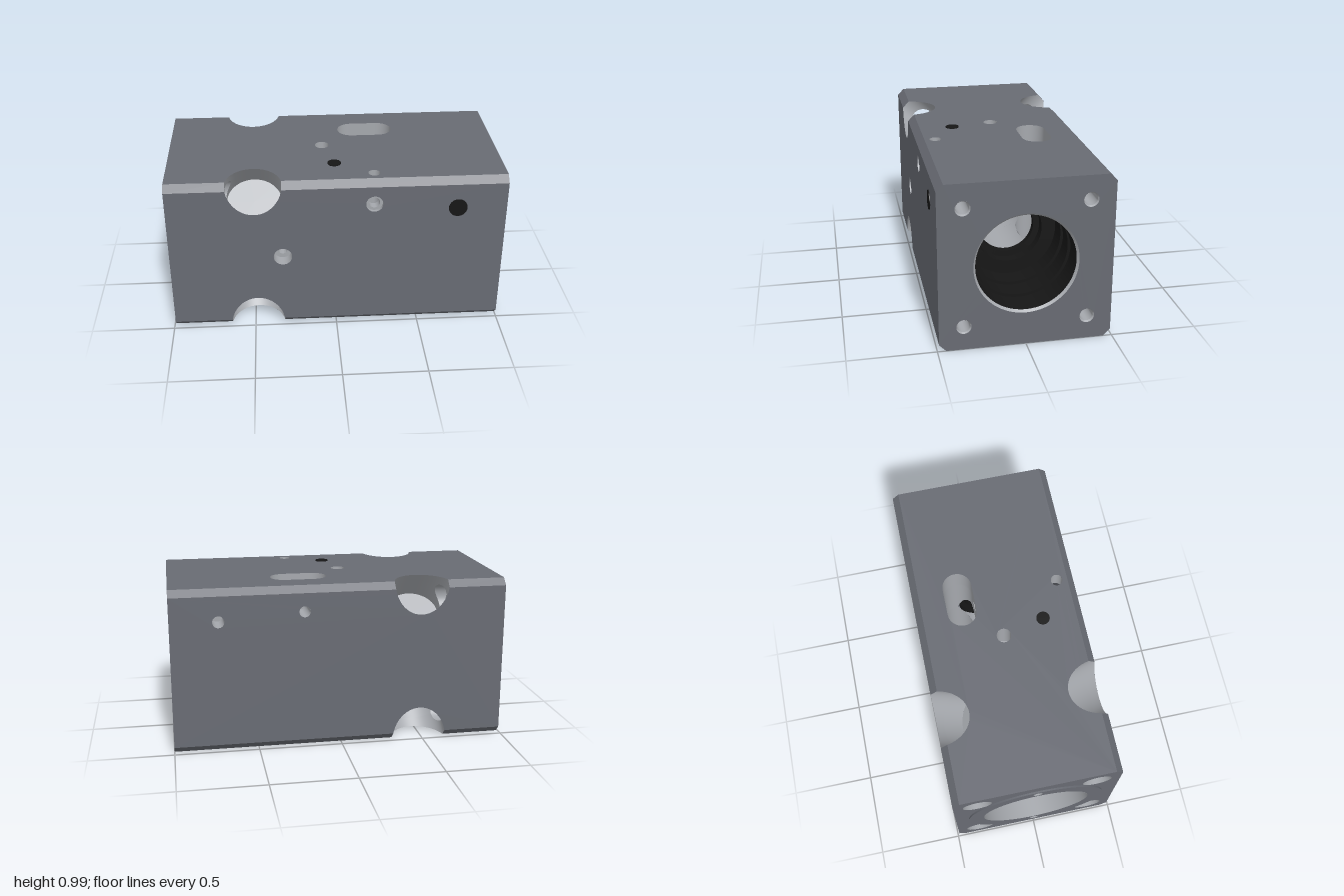
import * as THREE from 'three';
import { toCreasedNormals } from 'three/addons/utils/BufferGeometryUtils.js';

const H = 0.49, C = 0.45;                     // half section, chamfer start
const X0 = -0.99, X1 = 1;                     // body ends
const PX = -0.48, PR = 0.165, PV = 0.14;      // corner pocket centre and half axes
const BOLT = 0.35, BOLT_R = 0.085;            // bolt axis offset and clearance radius
const CORE = 0.2;                             // bore radius where the slot crosses it
const SLOT = { x: 0.22, z: -0.2125, half: 0.0825, r: 0.0875 };
const PIN = { x: 0.22, y: 0.34, r: 0.033 };   // cross hole running front to back

const material = (color) => new THREE.MeshStandardMaterial({ color, side: THREE.DoubleSide });
const steel = material(0x686b73), bright = material(0xa5a8ad), black = material(0x161616);
const range = (n, f) => Array.from({ length: n + 1 }, (_, i) => f(i / n));
const halfChord = (r, d) => Math.sqrt(Math.max(0, r * r - d * d));

function add(parent, name, geometry, mat, x = 0, y = 0, z = 0) {
  const mesh = new THREE.Mesh(geometry, mat);
  mesh.name = name;
  mesh.position.set(x, y, z);
  parent.add(mesh);
  return mesh;
}

// Ruled surface between two rails of points
function strip(a, b) {
  const pos = [], index = [];
  a.forEach((p, i) => {
    pos.push(...p, ...b[i]);
    const k = i * 2;
    if (i) index.push(k - 2, k, k - 1, k - 1, k, k + 1);
  });
  const g = new THREE.BufferGeometry();
  g.setAttribute('position', new THREE.Float32BufferAttribute(pos, 3));
  g.setIndex(index);
  g.computeVertexNormals();
  return g;
}

// Turned surface from [radius, height] pairs
const turned = (profile, seg = 32) => toCreasedNormals(
  new THREE.LatheGeometry(profile.map(([r, h]) => new THREE.Vector2(r, h)), seg), 0.5);

const circlePath = (x, y, r) => new THREE.Path().absarc(x, y, r, 0, Math.PI * 2);

// Slot outline as [x, z], straight sides finely divided for the cross hole
function slotOutline() {
  const { x, z, half, r } = SLOT, pts = [];
  for (const s of [1, -1]) {
    pts.push(...range(16, (t) => {
      const a = (t - 0.5) * Math.PI;
      return [x + s * (half + r * Math.cos(a)), z + s * r * Math.sin(a)];
    }));
    pts.push(...range(40, (t) => [x + s * half * (1 - 2 * t), z + s * r]).slice(1, -1));
  }
  return [...pts, pts[0]];
}

// Long side plate with pocket notches on both edges
function sidePlate(holes, slotSign) {
  const ry = PV * Math.SQRT2, t0 = Math.asin((H - C) / ry);
  const notch = (s) => range(32, (k) => {
    const t = t0 + k * (Math.PI - 2 * t0);
    return new THREE.Vector2(PX - s * PR * Math.cos(t), s * (ry * Math.sin(t) - H));
  });
  const v = (x, y) => new THREE.Vector2(x, y);
  const shape = new THREE.Shape([v(X0, -C), ...notch(1), v(X1, -C), v(X1, C), ...notch(-1), v(X0, C)]);
  holes.forEach(([x, y, profile]) => shape.holes.push(circlePath(x, y, profile[0][0])));
  if (slotSign) {
    shape.holes.push(new THREE.Path(slotOutline().slice(0, -1).map(([x, z]) => v(x, slotSign * z))));
  }
  return new THREE.ShapeGeometry(shape, 24);
}

// Diagonal pocket on one long edge, with the bolt hole opening into it
function addPocket(side) {
  const point = (t, s) => {
    const v = PV * Math.sin(t);
    return [PX + PR * Math.cos(t), H + (v - s) / Math.SQRT2, H - (v + s) / Math.SQRT2];
  };
  const depth = 0.352, mid = (H - BOLT) * Math.SQRT2;
  const rail = (f) => range(96, (k) => {
    const t = k * Math.PI * 2, v = PV * Math.sin(t);
    return point(t, f(v, Math.cos(t) < 0 ? halfChord(BOLT_R, v) : 0));
  });
  const mouth = rail((v) => Math.max((H - C) / Math.SQRT2, Math.abs(v)));
  add(side, 'pocketWallOuter', strip(mouth, rail((v, h) => mid - h)), bright);
  add(side, 'pocketWallInner', strip(rail((v, h) => mid + h), rail(() => depth)), bright);
  const floor = new THREE.CircleGeometry(1, 48).scale(PR, PV, 1).rotateX(-Math.PI / 4);
  add(side, 'pocketFloor', floor, bright, PX, H - depth / Math.SQRT2, H - depth / Math.SQRT2);

  const tube = (end) => range(40, (k) => {
    const a = k * Math.PI * 2, y = Math.cos(a) * BOLT_R, z = Math.sin(a) * BOLT_R;
    const v = (y - z) / Math.SQRT2;
    return [end ? PX - PR * Math.sqrt(1 - (v / PV) ** 2) : X0, BOLT + y, BOLT + z];
  });
  add(side, 'boltHole', strip(tube(false), tube(true)), bright);
}

// One end plate: chamfered square with holes
function endPlate(bore, boltRadius) {
  const o = [[H, C], [C, H], [-C, H], [-H, C], [-H, -C], [-C, -H], [C, -H], [H, -C]];
  const shape = new THREE.Shape(o.map(([x, y]) => new THREE.Vector2(x, y)));
  shape.holes.push(circlePath(0, 0, bore));
  for (const sx of [-1, 1]) for (const sy of [-1, 1]) {
    shape.holes.push(circlePath(sx * BOLT, sy * BOLT, boltRadius));
  }
  return new THREE.ShapeGeometry(shape, 32);
}

// Main bore, cut open where the slot crosses it
function addBore(body) {
  const along = (profile) => turned(profile, 64).rotateZ(-Math.PI / 2);
  add(body, 'boreRim', along([[0.295, 1], [0.283, 0.985]]), bright);
  add(body, 'rightBore', along([[0.283, 0.985], [0.283, 0.86], [0.3, 0.86], [0.3, 0.8], [0.283, 0.8],
    [0.283, 0.7], [0.3, 0.7], [0.3, 0.64], [0.283, 0.64], [0.283, 0.52], [CORE, 0.52], [CORE, 0.46],
    [0.162, 0.46], [0.162, 0.42], [CORE, 0.42], [CORE, 0.39]]), black);
  add(body, 'leftBore', along([[CORE, 0.05], [CORE, -0.1], [0.29, -0.1], [0.29, -0.75],
    [0.32, -0.75], [0.32, -1]]), bright);
  const rail = (f) => range(144, (k) => {
    const a = k * Math.PI * 2, z = CORE * Math.cos(a), d = z - SLOT.z;
    const w = Math.abs(d) < SLOT.r ? SLOT.half + halfChord(SLOT.r, d) : 0;
    return [f(w), CORE * Math.sin(a), z];
  });
  add(body, 'coreBoreLeft', strip(rail(() => 0.05), rail((w) => SLOT.x - w)), bright);
  add(body, 'coreBoreRight', strip(rail((w) => SLOT.x + w), rail(() => 0.39)), bright);
}

// Slot walls, interrupted by the bore and the cross hole
function addSlot(body) {
  const pts = slotOutline();
  const rail = (f) => pts.map(([x, z]) => [x, f(halfChord(CORE, z), halfChord(PIN.r, x - PIN.x)), z]);
  add(body, 'slotWallTop', strip(rail(() => H), rail((h, g) => PIN.y + g)), bright);
  add(body, 'slotWallUpper', strip(rail((h, g) => PIN.y - g), rail((h) => h)), bright);
  add(body, 'slotWallLower', strip(rail((h) => -h), rail(() => -H)), bright);
}

export function createModel() {
  const model = new THREE.Group();
  model.name = 'machinedBlock';
  const body = new THREE.Group();
  body.name = 'body';
  body.position.y = H;
  model.add(body);

  // Sides as turned copies of the front; holes are [x, y, [radius, depth] profile]
  const blind = (r, d) => [[r, 0], [r, d], [0, d]];
  const sides = [
    { name: 'front', angle: 0, slot: 0, plugs: [[0.71, 0.3, 0.055]], holes: [
      [PIN.x, PIN.y, [[0.05, 0], [0.05, 0.02], [PIN.r, 0.02], [PIN.r, 0.07]]],
      [-0.32, 0, [[0.055, 0], [0.055, 0.08], [0.028, 0.08], [0.028, 0.13], [0, 0.14]]]] },
    { name: 'top', angle: -Math.PI / 2, slot: -1, plugs: [[0, -0.25, 0.04]], holes: [
      [-0.06, 0, blind(0.043, 0.2)], [0.225, -0.385, [[0.035, 0], [0.035, 0.117]]]] },
    { name: 'back', angle: Math.PI, slot: 0, plugs: [], holes: [
      [PIN.x, -PIN.y, [[PIN.r, 0], [PIN.r, 0.19]]], [0.72, -0.3, blind(0.035, 0.15)]] },
    { name: 'bottom', angle: Math.PI / 2, slot: 1, plugs: [], holes: [
      [-0.06, 0, blind(0.043, 0.2)], [0, 0.25, blind(0.025, 0.15)],
      [0.225, 0.385, [[0.045, 0], [0.045, 0.03], [0.035, 0.03], [0.035, 0.797]]]] },
  ];
  for (const { name, angle, slot, plugs, holes } of sides) {
    const side = new THREE.Group();
    side.name = name + 'Side';
    side.rotation.x = angle;
    body.add(side);
    add(side, name + 'Plate', sidePlate(holes, slot), steel, 0, 0, H);
    for (const [x, y, profile] of holes) {
      const g = turned(profile.map(([r, d]) => [r, -d])).rotateX(Math.PI / 2);
      add(side, name + 'Hole', g, bright, x, y, H);
    }
    for (const [x, y, r] of plugs) {
      add(side, name + 'Plug', new THREE.CylinderGeometry(r, r, 0.04, 32).rotateX(Math.PI / 2), black, x, y, H - 0.015);
    }
    // Chamfer along the edge, broken by the pocket
    for (const [a, b] of [[X0, PX - 0.162], [PX + 0.162, X1]]) {
      const g = new THREE.PlaneGeometry(b - a, (H - C) * Math.SQRT2).rotateX(-Math.PI / 4);
      add(side, 'chamfer', g, steel, (a + b) / 2, (H + C) / 2, (H + C) / 2);
    }
    addPocket(side);
    const thread = turned([[0.043, 0], [0.037, -0.01], [0.037, -0.25], [0, -0.25]]).rotateZ(-Math.PI / 2);
    add(side, 'threadedHole', thread, bright, X1, BOLT, BOLT);
  }

  // Middle part of the cross hole, up to the slot
  const pin = new THREE.CylinderGeometry(PIN.r, PIN.r, 0.475, 32, 1, true).rotateX(Math.PI / 2);
  add(body, 'crossHole', pin, bright, PIN.x, PIN.y, 0.1125);

  add(body, 'rightEnd', endPlate(0.295, 0.043).rotateY(Math.PI / 2), steel, X1);
  add(body, 'leftEnd', endPlate(0.41, BOLT_R).rotateY(-Math.PI / 2), steel, X0);

  // Raised ring on the left end with two small holes
  const ring = new THREE.Shape().absarc(0, 0, 0.41, 0, Math.PI * 2);
  ring.holes.push(circlePath(0, 0, 0.32));
  for (const s of [-1, 1]) {
    ring.holes.push(circlePath(0, s * 0.365, 0.027));
    add(body, 'ringHole', turned(blind(0.027, 0.08)).rotateZ(-Math.PI / 2), bright, -1, s * 0.365);
  }
  add(body, 'ringFace', new THREE.ShapeGeometry(ring, 48).rotateY(-Math.PI / 2), steel, -1);
  add(body, 'ringEdge', turned([[0.41, -1], [0.41, X0]], 64).rotateZ(-Math.PI / 2), steel);

  addBore(body);
  addSlot(body);
  return model;
}
